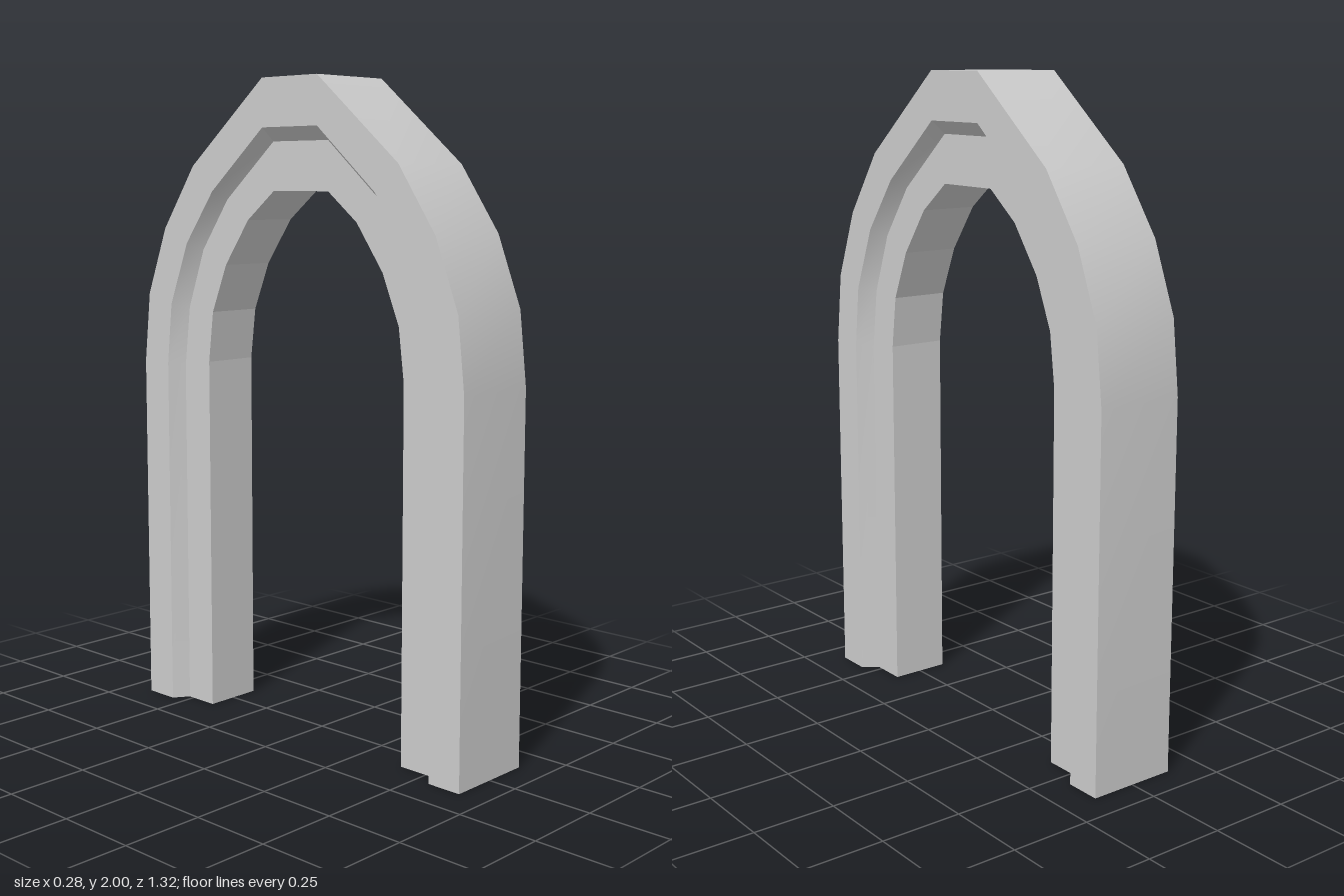
import * as THREE from 'three';
import { toCreasedNormals } from 'three/addons/utils/BufferGeometryUtils.js';

// Half curves [z, y] from foot to crown, with the half width in x
const RAILS = {
  outer: { w: 0.14, pts: [[0.66, 0], [0.66, 1.12], [0.636, 1.34], [0.555, 1.55], [0.42, 1.745], [0.112, 2]] },
  stepOuter: { w: 0.14, pts: [[0.55, 0], [0.55, 1.12], [0.53, 1.31], [0.453, 1.505], [0.333, 1.667], [0.112, 1.855]] },
  stepInner: { w: 0.093, pts: [[0.518, 0], [0.518, 1.11], [0.495, 1.3], [0.427, 1.485], [0.315, 1.642], [0.112, 1.815]] },
  inner: { w: 0.093, pts: [[0.406, 0], [0.406, 1.13], [0.386, 1.29], [0.324, 1.44], [0.224, 1.58], [0.112, 1.668]] },
};

// Mirror a half curve over the crown and place it on the left (+1) or right (-1) side
function rail(name, side) {
  const { w, pts } = RAILS[name];
  const full = [...pts, ...pts.map(([z, y]) => [-z, y]).reverse()];
  return full.map(([z, y]) => [side * w, y, z]);
}

// Skin neighbouring rails with quads; optionally close the two feet
function skin(rails, feet) {
  const pos = [];
  const quad = (a, b, c, d) => pos.push(...a, ...b, ...c, ...a, ...c, ...d);
  const last = rails[0].length - 1;
  for (let j = 0; j < rails.length - 1; j++) {
    for (let i = 0; i < last; i++) {
      quad(rails[j][i], rails[j + 1][i], rails[j + 1][i + 1], rails[j][i + 1]);
    }
  }
  if (feet) {
    for (const [a, b, c, d] of [[0, 1, 2, 7], [7, 2, 3, 6], [6, 3, 4, 5]]) {
      // rails run: inner -x, step -x, outer, step +x, inner +x
      const r = [3, 4, 5, 6, 7, 0, 1, 2].map((k) => rails[k]);
      quad(r[d][0], r[c][0], r[b][0], r[a][0]);
      quad(r[a][last], r[b][last], r[c][last], r[d][last]);
    }
  }
  const geo = new THREE.BufferGeometry();
  geo.setAttribute('position', new THREE.Float32BufferAttribute(pos, 3));
  geo.computeVertexNormals();
  return geo;
}

export function createModel() {
  const group = new THREE.Group();
  group.name = 'steppedArch';
  const add = (name, geo) => {
    const mesh = new THREE.Mesh(geo, new THREE.MeshStandardMaterial({ color: 0xcccccc }));
    mesh.name = name;
    group.add(mesh);
  };

  // Outer band, bevelled steps, side faces and feet
  const profile = [
    ['inner', -1], ['stepInner', -1], ['stepOuter', -1], ['outer', -1],
    ['outer', 1], ['stepOuter', 1], ['stepInner', 1], ['inner', 1],
  ].map(([name, side]) => rail(name, side));
  add('archBody', toCreasedNormals(skin(profile, true), THREE.MathUtils.degToRad(30)));

  // Faceted underside of the opening
  add('archSoffit', skin([rail('inner', 1), rail('inner', -1)], false));

  return group;
}
